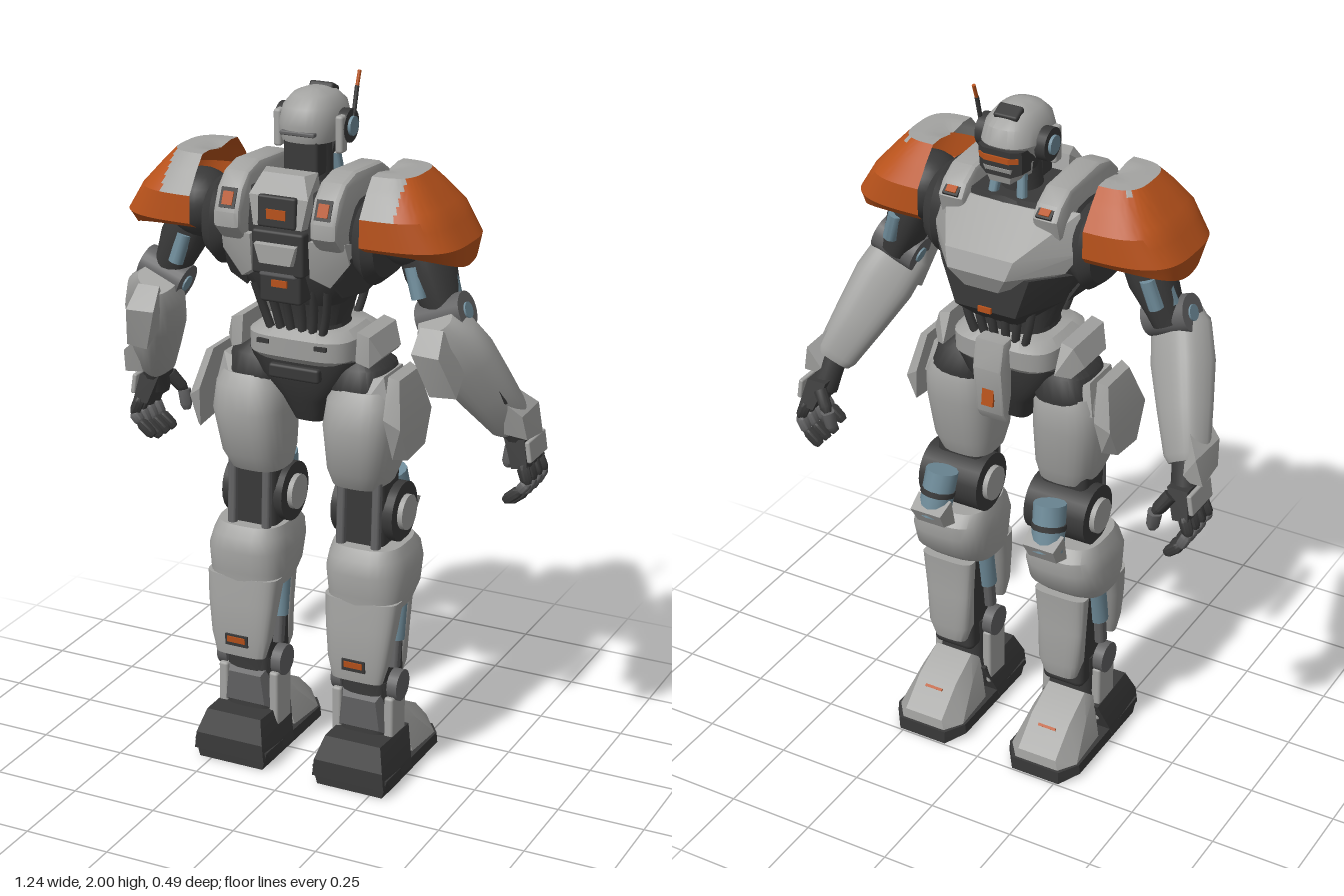
import * as THREE from 'three';
import { toCreasedNormals } from 'three/addons/utils/BufferGeometryUtils.js';
import { RoundedBoxGeometry } from 'three/addons/geometries/RoundedBoxGeometry.js';
import { ConvexGeometry } from 'three/addons/geometries/ConvexGeometry.js';

const V = (x, y, z) => new THREE.Vector3(x, y, z);
const paint = (name, color, side = THREE.FrontSide) => Object.assign(new THREE.MeshStandardMaterial({ color, side }), { name });
const armor = paint('light grey armour', 0xa3a3a1, THREE.DoubleSide);
const orange = paint('orange paint', 0xb8521b, THREE.DoubleSide);
const dark = paint('dark frame', 0x393939);
const mid = paint('mid grey metal', 0x626263);
const blue = paint('blue steel', 0x6f8c9a);

function add(parent, name, mat, geo, pos = [0, 0, 0], rot = [0, 0, 0]) {
  const m = new THREE.Mesh(geo, mat);
  m.name = name;
  m.position.set(...pos);
  m.rotation.set(...rot);
  parent.add(m);
  return m;
}
const box = (w, h, d, r = 0.008) => new RoundedBoxGeometry(w, h, d, 2, Math.min(r, w / 3, h / 3, d / 3));
const plate = (w, h, t = 0.008) => new THREE.BoxGeometry(w, h, t);
const drum = (r, w, r2 = r) => new THREE.CylinderGeometry(r2, r, w, 24).rotateZ(-Math.PI / 2);
const power = (c, p) => Math.sign(c) * Math.abs(c) ** p;

// Stack of rounded rectangles: [y, centreX, centreZ, halfX, halfZ]
function loft(rings, p = 0.6, n = 28) {
  const pos = [], idx = [], last = rings.length - 1;
  for (const [y, cx, cz, hx, hz] of rings)
    for (let i = 0; i < n; i++) {
      const a = (i / n) * Math.PI * 2;
      pos.push(cx + hx * power(Math.cos(a), p), y, cz + hz * power(Math.sin(a), p));
    }
  for (let r = 0; r < last; r++)
    for (let i = 0; i < n; i++) {
      const j = (i + 1) % n, a = r * n + i, b = r * n + j;
      idx.push(a, a + n, b, b, a + n, b + n);
    }
  const bottom = pos.length / 3, top = bottom + 1;
  for (const [y, cx, cz] of [rings[0], rings[last]]) pos.push(cx, y, cz);
  for (let i = 0; i < n; i++) {
    const j = (i + 1) % n;
    idx.push(bottom, i, j, top, last * n + j, last * n + i);
  }
  const g = new THREE.BufferGeometry();
  g.setAttribute('position', new THREE.Float32BufferAttribute(pos, 3));
  g.setIndex(idx);
  return toCreasedNormals(g, 0.65);
}
// Loft along the line from a to b: [t, halfWidth, halfDepth]
function limb(a, b, rings, p = 0.8, n = 20) {
  const from = V(...a), dir = V(...b).sub(from), len = dir.length();
  const g = loft(rings.map(([t, w, d]) => [t * len, 0, 0, w, d]), p, n);
  g.applyQuaternion(new THREE.Quaternion().setFromUnitVectors(V(0, 1, 0), dir.normalize()));
  return g.translate(...a);
}
const rod = (a, b, r) => limb(a, b, [[0, r, r], [1, r, r]], 1, 12);
// Side outline in [z, y], widened along x
function outline(pts, width, bevel = 0.01) {
  const g = new THREE.ExtrudeGeometry(new THREE.Shape(pts.map(q => new THREE.Vector2(...q))),
    { depth: width - 2 * bevel, bevelSize: bevel, bevelThickness: bevel, bevelOffset: -bevel, bevelSegments: 2 });
  return toCreasedNormals(g.translate(0, 0, bevel - width / 2).rotateY(-Math.PI / 2), 0.5);
}
const hull = pts => toCreasedNormals(new ConvexGeometry(pts.map(q => V(...q))), 0.35);
const hullSym = pts => hull(pts.flatMap(([x, y, z]) => [[x, y, z], [-x, y, z]]));
const cable = (pts, r) => new THREE.TubeGeometry(new THREE.CatmullRomCurve3(pts.map(q => V(...q))), 16, r, 8);

// Open shoulder shell, painted by position; levels are [y, outerX, centreZ, halfZ]
function shoulderShell() {
  const levels = [[1.55, 0.472, 0.055, 0.15], [1.615, 0.482, 0.065, 0.178], [1.69, 0.435, 0.065, 0.176],
    [1.745, 0.387, 0.067, 0.135], [1.785, 0.35, 0.068, 0.098], [1.787, 0.3, 0.068, 0.06], [1.778, 0.25, 0.068, 0.005]];
  const n = 48, sub = 3, painted = [[], []];
  const point = (s, i) => {
    const k = Math.min(Math.floor(s / sub), levels.length - 2), t = s / sub - k, a = (i / n) * Math.PI;
    const [y, xo, cz, hz] = levels[k].map((v, j) => v + (levels[k + 1][j] - v) * t);
    const lift = s < sub ? 0.045 * Math.abs(Math.cos(a)) * (1 - t) : 0;
    return [0.245 + (xo - 0.245) * power(Math.sin(a), 0.62), y + lift, cz - hz * power(Math.cos(a), 0.62)];
  };
  for (let k = 0; k < (levels.length - 1) * sub; k++)
    for (let i = 0; i < n; i++) {
      const [a, b, c, d] = [point(k, i), point(k, i + 1), point(k + 1, i), point(k + 1, i + 1)];
      const x = (a[0] + d[0]) / 2, y = (a[1] + d[1]) / 2, z = (a[2] + d[2]) / 2;
      const grey = z > -0.025 && (k >= 4 * sub || (x < 0.335 && y > 1.685));
      painted[grey ? 1 : 0].push(...a, ...c, ...b, ...b, ...c, ...d);
    }
  const g = new THREE.BufferGeometry();
  g.setAttribute('position', new THREE.Float32BufferAttribute(painted.flat(), 3));
  const out = toCreasedNormals(g, 0.4);
  out.addGroup(0, painted[0].length / 3, 0);
  out.addGroup(painted[0].length / 3, painted[1].length / 3, 1);
  return out;
}

function buildHead(g) {
  add(g, 'helmet', armor, loft([[1.825, 0, 0.01, 0.074, 0.085], [1.87, 0, -0.005, 0.084, 0.112],
    [1.915, 0, -0.005, 0.074, 0.1], [1.943, 0, -0.003, 0.052, 0.068], [1.955, 0, 0, 0.022, 0.03]], 0.8));
  add(g, 'face', dark, hullSym([[0.064, 1.865, -0.105], [0.04, 1.865, -0.122], [0.062, 1.8, -0.1], [0.035, 1.79, -0.115], [0.05, 1.78, 0], [0.07, 1.85, 0]]));
  add(g, 'visor', orange, hullSym([[0.035, 1.848, -0.126], [0.035, 1.833, -0.126], [0.058, 1.848, -0.112], [0.058, 1.833, -0.112], [0.05, 1.848, -0.108], [0.05, 1.833, -0.108]]));
  add(g, 'jaw', armor, hullSym([[0.04, 1.815, -0.12], [0.067, 1.82, -0.05], [0.03, 1.768, -0.105], [0.052, 1.775, -0.03]]));
  add(g, 'crownSensor', dark, box(0.07, 0.02, 0.045), [0, 1.944, -0.058], [-0.45, 0, 0]);
  add(g, 'napeRing', mid, box(0.1, 0.012, 0.02), [0, 1.852, 0.096]);
  add(g, 'napeGuard', dark, box(0.1, 0.11, 0.06), [0, 1.79, 0.055]);
  add(g, 'neck', dark, loft([[1.62, 0, 0.02, 0.075, 0.075], [1.7, 0, 0.015, 0.055, 0.06], [1.84, 0, 0, 0.05, 0.06]], 1));
  add(g, 'antenna', dark, rod([0.102, 1.85, -0.015], [0.102, 1.96, -0.045], 0.006));
  add(g, 'antennaTip', orange, rod([0.102, 1.95, -0.042], [0.102, 1.998, -0.06], 0.005));
}

function buildTorso(g) {
  add(g, 'ribcage', dark, loft([[1.4, 0, 0.02, 0.12, 0.11], [1.5, 0, 0.03, 0.2, 0.15], [1.62, 0, 0.04, 0.225, 0.15], [1.72, 0, 0.045, 0.17, 0.13]]));
  add(g, 'chestPlate', armor, hullSym([[0.09, 1.705, -0.09], [0.2, 1.7, -0.04], [0.22, 1.6, -0.07], [0.19, 1.55, -0.1],
    [0.085, 1.56, -0.232], [0.1, 1.61, -0.215], [0.05, 1.505, -0.205], [0.08, 1.52, -0.05]]));
  add(g, 'lowerChest', dark, hullSym([[0.13, 1.55, -0.185], [0.205, 1.54, -0.08], [0.17, 1.45, -0.07], [0.09, 1.43, -0.185], [0.06, 1.37, -0.12], [0.1, 1.38, 0]]));
  add(g, 'bellyLight', orange, plate(0.04, 0.016), [0, 1.435, -0.187]);
  add(g, 'collar', dark, loft([[1.68, 0, 0.03, 0.1, 0.13], [1.72, 0, 0.03, 0.09, 0.115]]));
  // Back pack, stacked down the spine
  add(g, 'upperBackPlate', armor, hullSym([[0.075, 1.765, 0.13], [0.06, 1.765, 0.18], [0.085, 1.71, 0.21], [0.07, 1.63, 0.218], [0.08, 1.62, 0.1]]));
  add(g, 'backRecess', dark, box(0.11, 0.085, 0.02), [0, 1.672, 0.214], [-0.05, 0, 0]);
  add(g, 'backLight', orange, plate(0.055, 0.026), [0, 1.667, 0.224]);
  add(g, 'middleBackPack', dark, box(0.15, 0.12, 0.1), [0, 1.56, 0.17]);
  add(g, 'middleBackCover', armor, hullSym([[0.06, 1.59, 0.21], [0.06, 1.585, 0.235], [0.045, 1.535, 0.235], [0.05, 1.53, 0.21]]));
  add(g, 'lowerBackPack', dark, box(0.12, 0.1, 0.09), [0, 1.47, 0.16]);
  add(g, 'lowerBackCover', mid, box(0.11, 0.03, 0.03), [0, 1.508, 0.205]);
  add(g, 'lowerBackLight', orange, plate(0.045, 0.018), [0, 1.475, 0.207]);
  // Waist
  add(g, 'waist', dark, loft([[1.24, 0, 0.01, 0.13, 0.1], [1.33, 0, 0.01, 0.1, 0.09], [1.42, 0, 0.02, 0.13, 0.11]], 0.8));
  for (const x of [-0.09, -0.055, -0.02, 0.02, 0.055, 0.09])
    for (const s of [1, -1])
      add(g, 'waistCable', dark, cable([[x * 1.2, 1.45, 0.01 + s * 0.13], [x, 1.36, s * 0.115], [x * 0.7, 1.27, s * 0.1]], 0.012));
  // Pelvis
  add(g, 'belt', armor, loft([[1.215, 0, 0, 0.12, 0.105], [1.245, 0, 0, 0.155, 0.135], [1.3, 0, 0, 0.155, 0.14], [1.32, 0, 0, 0.13, 0.115]], 0.5));
  add(g, 'pelvis', dark, loft([[1.04, 0, 0, 0.045, 0.05], [1.11, 0, 0, 0.075, 0.085], [1.18, 0, 0, 0.14, 0.11], [1.24, 0, 0, 0.17, 0.12]]));
  add(g, 'tailPlate', dark, box(0.15, 0.04, 0.03), [0, 1.2, 0.115]);
  add(g, 'loinPlate', armor, outline([[-0.12, 1.33], [-0.165, 1.33], [-0.182, 1.25], [-0.165, 1.11], [-0.145, 1.08], [-0.12, 1.16]], 0.09));
  add(g, 'loinMark', orange, plate(0.035, 0.055), [0, 1.165, -0.173], [0.12, 0, 0]);
}

function buildTrunkSide(g) {
  add(g, 'ear', dark, drum(0.045, 0.03), [0.088, 1.86, -0.012]);
  add(g, 'earCap', blue, drum(0.026, 0.022), [0.1, 1.86, -0.012]);
  add(g, 'earGuard', armor, box(0.022, 0.1, 0.035), [0.09, 1.845, 0.025]);
  add(g, 'neckPiston', blue, rod([0.045, 1.69, -0.07], [0.035, 1.79, -0.05], 0.014));
  add(g, 'shoulderStrap', armor, outline([[-0.125, 1.7], [-0.1, 1.735], [-0.05, 1.765], [0.11, 1.775], [0.175, 1.757], [0.215, 1.72], [0.24, 1.66], [0.24, 1.62], [0.2, 1.58], [0.1, 1.55], [-0.1, 1.62]], 0.078, 0.014), [0.14, 0, 0]);
  add(g, 'strapSlot', dark, plate(0.046, 0.055, 0.008), [0.138, 1.695, 0.224], [-0.4, 0, 0]);
  add(g, 'rearStrapLight', orange, plate(0.03, 0.036), [0.138, 1.695, 0.227], [-0.4, 0, 0]);
  add(g, 'frontStrapSlot', dark, plate(0.045, 0.035), [0.138, 1.717, -0.112], [0.95, 0, 0]);
  add(g, 'frontStrapLight', orange, plate(0.03, 0.02), [0.138, 1.719, -0.115], [0.95, 0, 0]);
  add(g, 'backVent', armor, hull([[0.085, 1.6, 0.21], [0.18, 1.6, 0.19], [0.085, 1.5, 0.2], [0.13, 1.47, 0.17], [0.185, 1.54, 0.17], [0.09, 1.6, 0.1], [0.19, 1.58, 0.1], [0.1, 1.46, 0.1]]));
  add(g, 'ribPad', dark, hull([[0.12, 1.48, 0.16], [0.19, 1.56, 0.17], [0.225, 1.5, 0.1], [0.2, 1.45, 0.1], [0.14, 1.43, 0.12], [0.22, 1.52, -0.05], [0.17, 1.44, -0.05]]));
  add(g, 'sidePad', armor, hull([[0.17, 1.33, -0.08], [0.17, 1.33, 0.09], [0.205, 1.32, -0.08], [0.205, 1.32, 0.09], [0.23, 1.26, -0.06],
    [0.23, 1.26, 0.06], [0.205, 1.235, -0.09], [0.205, 1.235, 0.09], [0.17, 1.25, -0.12], [0.17, 1.25, 0.1]]));
  add(g, 'beltSlot', dark, plate(0.035, 0.012), [0.085, 1.285, 0.138]);
}

function buildArm(g) {
  add(g, 'shoulderJoint', dark, loft([[-0.03, 0, 0, 0.105, 0.125], [0, 0, 0, 0.13, 0.14], [0.03, 0, 0, 0.105, 0.125]], 0.85).rotateZ(-Math.PI / 2), [0.22, 1.595, 0.045]);
  add(g, 'shoulderBall', dark, new THREE.SphereGeometry(0.095, 24, 16), [0.31, 1.62, 0.055]);
  add(g, 'shoulderShell', [orange, armor], shoulderShell());
  add(g, 'upperArm', dark, limb([0.33, 1.6, 0.05], [0.415, 1.4, 0.06], [[0, 0.06, 0.065], [0.4, 0.064, 0.07], [0.8, 0.05, 0.055], [1, 0.045, 0.05]]));
  for (const [x, z] of [[0.042, 0.035], [-0.025, 0.108], [0.02, -0.008]])
    add(g, 'armPiston', blue, rod([0.36 + x, 1.54, z], [0.385 + x, 1.46, z + 0.008], 0.021));
  add(g, 'elbow', mid, drum(0.052, 0.13), [0.415, 1.41, 0.07], [0, 0, 0.35]);
  add(g, 'elbowPin', blue, drum(0.022, 0.14), [0.415, 1.41, 0.07], [0, 0, 0.35]);
  add(g, 'forearm', armor, limb([0.415, 1.4, 0.125], [0.55, 1.08, -0.085], [[-0.03, 0.045, 0.05], [0.1, 0.064, 0.082], [0.35, 0.07, 0.088], [0.65, 0.062, 0.075], [0.95, 0.052, 0.06], [1, 0.042, 0.05]], 0.7, 28));
  add(g, 'elbowGuard', armor, hull([[0.385, 1.4, 0.165], [0.45, 1.4, 0.165], [0.38, 1.34, 0.21], [0.46, 1.34, 0.218], [0.42, 1.22, 0.18], [0.49, 1.22, 0.165], [0.4, 1.3, 0.09], [0.49, 1.3, 0.09]]));
  add(g, 'forearmSlot', dark, hull([[0.545, 1.25, 0.055], [0.555, 1.24, -0.01], [0.57, 1.17, -0.04], [0.57, 1.17, 0.02], [0.5, 1.22, 0], [0.51, 1.17, -0.02]]));
  add(g, 'wristCuff', armor, hull([[0.555, 1.18, -0.09], [0.56, 1.17, 0.01], [0.6, 1.13, -0.14], [0.605, 1.13, -0.01], [0.618, 1.05, -0.13], [0.613, 1.06, -0.03], [0.55, 1.05, -0.13], [0.55, 1.07, -0.02]]));
  add(g, 'wrist', dark, rod([0.545, 1.1, -0.08], [0.562, 1, -0.12], 0.038));
  // Hand
  add(g, 'palm', dark, hull([[0.53, 1.04, -0.07], [0.53, 1.04, -0.16], [0.59, 1.04, -0.07], [0.59, 1.04, -0.16], [0.56, 0.96, -0.055], [0.56, 0.96, -0.185], [0.605, 0.965, -0.055], [0.605, 0.965, -0.185]]));
  add(g, 'handPlate', armor, box(0.014, 0.06, 0.12), [0.605, 1.012, -0.118], [0, 0, 0.15]);
  for (let i = 0; i < 4; i++) {
    const z = -0.065 - i * 0.036, dz = (1.5 - i) * 0.004, drop = i === 0 ? 0.015 : 0;
    const path = [[0.588, 0.97, z], [0.605, 0.925, z + dz], [0.585, 0.885 + drop, z + dz], [0.545, 0.852 + drop, z + dz]];
    for (let k = 0; k < 3; k++)
      add(g, 'fingerSegment', k === 1 ? mid : dark, limb(path[k], path[k + 1], [[-0.05, 0.011, 0.011], [0.2, 0.016, 0.016], [0.85, 0.015, 0.015], [1.08, 0.01, 0.01]], 0.7, 12));
  }
  const thumb = [[0.545, 1.02, -0.165], [0.51, 0.97, -0.185], [0.5, 0.915, -0.18]];
  for (let k = 0; k < 2; k++) add(g, 'thumbSegment', k ? mid : dark, limb(thumb[k], thumb[k + 1], [[0, 0.019, 0.019], [0.8, 0.017, 0.017], [1.05, 0.01, 0.01]], 0.7, 12));
}

function buildLeg(g) {
  add(g, 'hipJoint', dark, loft([[1.08, 0.16, 0, 0.07, 0.08], [1.16, 0.158, 0, 0.09, 0.105], [1.22, 0.15, 0, 0.08, 0.09], [1.25, 0.14, 0, 0.05, 0.06]], 0.75));
  add(g, 'thigh', armor, loft([[0.88, 0.155, 0.01, 0.078, 0.08], [0.93, 0.16, 0.015, 0.092, 0.105], [1.06, 0.167, 0.02, 0.105, 0.125], [1.13, 0.168, 0.01, 0.1, 0.118], [1.165, 0.168, 0.005, 0.085, 0.1]], 0.7));
  add(g, 'hipCap', armor, hull([[0.2, 1.14, -0.1], [0.2, 1.14, 0.11], [0.26, 1.12, -0.07], [0.26, 1.12, 0.08], [0.24, 1.21, -0.05], [0.24, 1.21, 0.07], [0.2, 1.2, -0.07], [0.2, 1.2, 0.08]]));
  add(g, 'hipPlate', armor, hull([[0.262, 1.22, -0.05], [0.262, 1.22, 0.09], [0.29, 1.21, -0.04], [0.29, 1.21, 0.08], [0.316, 1.09, -0.075], [0.316, 1.09, 0.13],
    [0.318, 1.0, -0.03], [0.318, 0.99, 0.08], [0.29, 1.02, -0.07], [0.29, 1.0, 0.12], [0.275, 1.12, -0.09], [0.275, 1.12, 0.15]]));
  // Knee
  add(g, 'kneeFrame', dark, box(0.14, 0.27, 0.12, 0.02), [0.165, 0.79, 0]);
  add(g, 'kneeDrum', dark, drum(0.085, 0.185), [0.168, 0.79, -0.03]);
  add(g, 'kneeDisc', armor, drum(0.05, 0.215), [0.168, 0.79, -0.03]);
  for (const x of [0.115, 0.22]) add(g, 'kneePiston', mid, rod([x, 0.69, 0.07], [x, 0.9, 0.06], 0.014));
  add(g, 'kneeCylinder', blue, rod([0.18, 0.73, -0.168], [0.17, 0.86, -0.135], 0.046));
  add(g, 'kneeBand', dark, rod([0.176, 0.79, -0.153], [0.175, 0.805, -0.149], 0.049));
  add(g, 'kneeGuard', armor, hull([[0.125, 0.785, -0.165], [0.23, 0.785, -0.165], [0.13, 0.76, -0.218], [0.225, 0.76, -0.218], [0.135, 0.71, -0.19], [0.22, 0.71, -0.19], [0.135, 0.69, -0.13], [0.22, 0.69, -0.13]]));
  // Lower leg
  add(g, 'shin', armor, loft([[0.535, 0.182, 0.015, 0.107, 0.1], [0.575, 0.183, -0.005, 0.115, 0.122], [0.64, 0.182, -0.01, 0.118, 0.138], [0.68, 0.18, -0.015, 0.11, 0.132], [0.71, 0.178, -0.01, 0.1, 0.105]], 0.65));
  add(g, 'calf', armor, loft([[0.32, 0.182, 0.098, 0.075, 0.02], [0.38, 0.182, 0.09, 0.09, 0.036], [0.48, 0.183, 0.075, 0.103, 0.047], [0.56, 0.183, 0.06, 0.11, 0.055]], 0.6));
  add(g, 'shinFront', armor, loft([[0.26, 0.18, -0.075, 0.05, 0.03], [0.31, 0.18, -0.08, 0.065, 0.036], [0.42, 0.182, -0.082, 0.072, 0.026], [0.54, 0.182, -0.085, 0.08, 0.03]], 0.6));
  add(g, 'legCore', dark, box(0.13, 0.35, 0.15, 0.02), [0.18, 0.39, -0.005]);
  for (const [x, out] of [[0.11, -1], [0.252, 1]]) {
    add(g, 'legPiston', blue, rod([x, 0.42, 0.005], [x, 0.53, -0.012], 0.027));
    add(g, 'pistonSleeve', mid, rod([x, 0.34, 0.015], [x, 0.43, 0.004], 0.02));
    add(g, 'ankleDisc', mid, drum(0.045, 0.03), [x + out * 0.015, 0.285, 0.015]);
  }
  add(g, 'calfSlot', dark, plate(0.07, 0.035), [0.182, 0.372, 0.125], [0.1, 0, 0]);
  add(g, 'calfLight', orange, plate(0.055, 0.018), [0.182, 0.375, 0.128], [0.1, 0, 0]);
  add(g, 'ankle', dark, loft([[0.08, 0.18, 0.01, 0.085, 0.08], [0.18, 0.18, 0.01, 0.07, 0.06], [0.3, 0.18, 0.01, 0.075, 0.065]]));
  add(g, 'heelGuard', mid, hull([[0.12, 0.27, 0.06], [0.24, 0.27, 0.06], [0.13, 0.25, 0.085], [0.23, 0.25, 0.085], [0.12, 0.16, 0.08], [0.24, 0.16, 0.08], [0.1, 0.14, 0.05], [0.26, 0.14, 0.05]]));
  for (const x of [0.1, 0.26]) add(g, 'ankleGuard', armor, box(0.028, 0.18, 0.09), [x, 0.17, 0.02]);
  // Foot
  const across = pts => hull(pts.flatMap(([h, y, z]) => [[0.187 - h, y, z], [0.187 + h, y, z]]));
  add(g, 'sole', dark, across([[0.1, 0, 0.16], [0.118, 0.02, 0.13], [0.115, 0.015, -0.19], [0.075, 0, -0.245], [0.075, 0.04, -0.245], [0.112, 0.045, -0.19], [0.115, 0.055, 0.16]]));
  add(g, 'heel', dark, across([[0.11, 0.03, 0.172], [0.12, 0.03, 0], [0.105, 0.08, 0.17], [0.085, 0.145, 0.14], [0.09, 0.14, -0.04]]));
  add(g, 'toeCap', armor, across([[0.058, 0.195, -0.06], [0.07, 0.17, -0.03], [0.1, 0.045, -0.05], [0.105, 0.045, -0.19], [0.068, 0.04, -0.238], [0.06, 0.07, -0.235], [0.06, 0.145, -0.155], [0.085, 0.13, -0.1]]));
  add(g, 'toeLight', orange, plate(0.055, 0.01), [0.187, 0.127, -0.174], [Math.PI / 2 + 0.75, 0, 0]);
}

// Copy a group across x = 0, keeping the faces outward
function mirrored(group) {
  const out = new THREE.Group(), flip = new THREE.Matrix4().makeScale(-1, 1, 1);
  for (const m of group.children) {
    m.updateMatrix();
    const g = m.geometry.index ? m.geometry.toNonIndexed() : m.geometry.clone();
    g.applyMatrix4(flip.clone().multiply(m.matrix));
    for (const { array } of [g.attributes.position, g.attributes.normal])
      for (let i = 0; i < array.length; i += 9)
        for (let k = 3; k < 6; k++) [array[i + k], array[i + k + 3]] = [array[i + k + 3], array[i + k]];
    add(out, m.name, m.material, g);
  }
  return out;
}

export function createModel() {
  const root = new THREE.Group();
  root.name = 'robot';
  const part = (name, build, pair) => {
    const g = new THREE.Group();
    build(g);
    g.name = pair ? 'left ' + name : name;
    root.add(g);
    if (pair) root.add(Object.assign(mirrored(g), { name: 'right ' + name }));
  };
  part('head', buildHead);
  part('torso', buildTorso);
  part('trunk fittings', buildTrunkSide, true);
  part('arm', buildArm, true);
  part('leg', buildLeg, true);
  return root;
}
